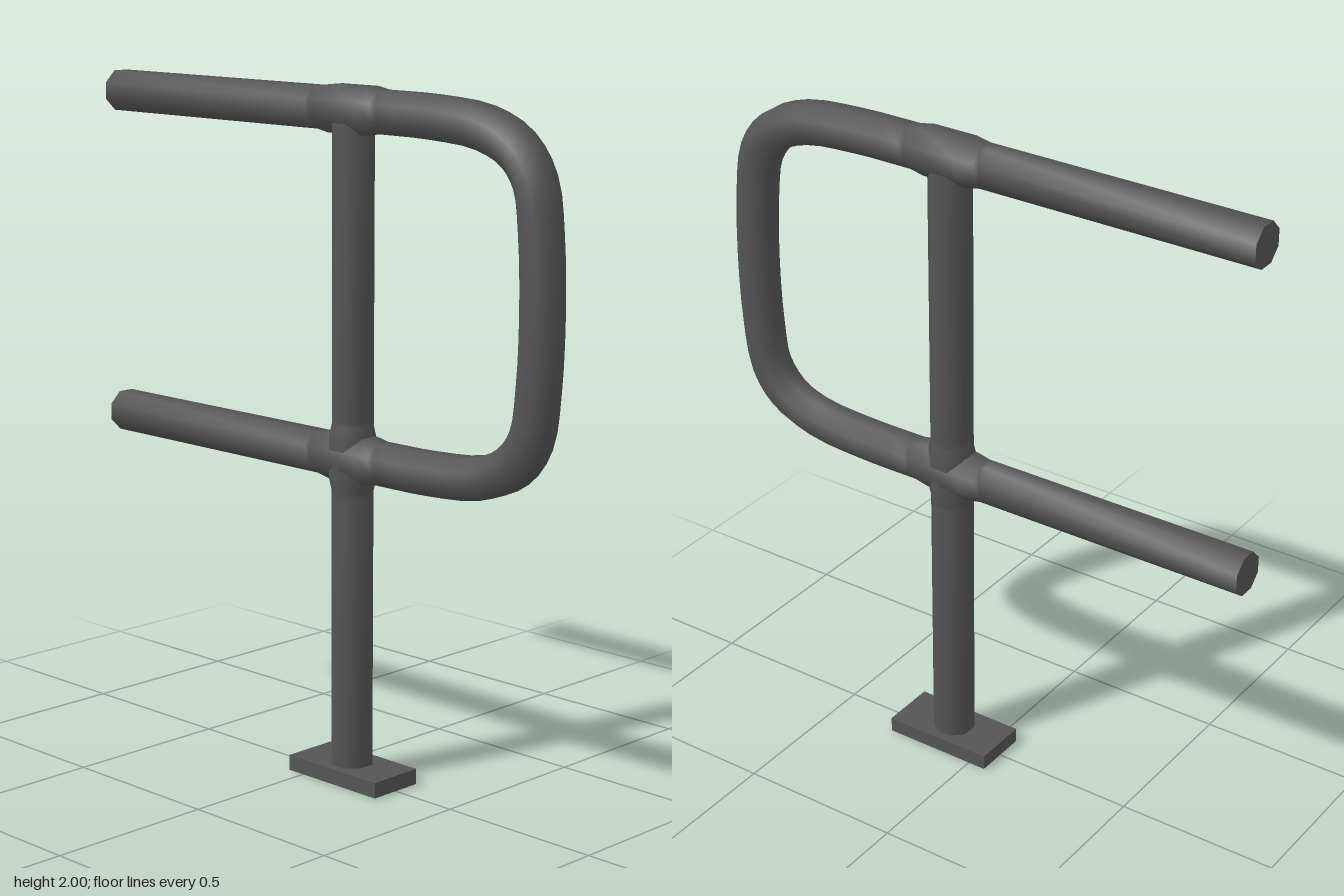
import * as THREE from 'three';

const SIDES = 8;
const R = 0.059;        // flat-to-centre size of the pipe
const COLLAR = 0.0665;  // swollen weld at the joints
const POST_Z = 0.115, TOP_Y = 1.934, LOW_Y = 0.952;

// Sweeps an eight-sided capped pipe along [z, y, size] stations in the x = 0 plane
function pipe(stations) {
  const pos = [], idx = [], n = stations.length;
  const pts = stations.map(([z, y]) => new THREE.Vector3(0, y, z));
  const X = new THREE.Vector3(1, 0, 0);
  const ring = (i) => {
    const T = pts[Math.min(i + 1, n - 1)].clone().sub(pts[Math.max(i - 1, 0)]).normalize();
    const U = T.cross(X);
    const r = stations[i][2] / Math.cos(Math.PI / SIDES);
    const start = pos.length / 3;
    for (let j = 0; j < SIDES; j++) {
      const a = (j + 0.5) / SIDES * Math.PI * 2;
      const v = pts[i].clone().addScaledVector(X, r * Math.cos(a)).addScaledVector(U, r * Math.sin(a));
      pos.push(v.x, v.y, v.z);
    }
    return start;
  };
  for (let i = 0; i < n; i++) ring(i);
  for (let i = 0; i < n - 1; i++) {
    for (let j = 0; j < SIDES; j++) {
      const a = i * SIDES + j, b = i * SIDES + (j + 1) % SIDES;
      idx.push(a, b, b + SIDES, a, b + SIDES, a + SIDES);
    }
  }
  // Flat end caps with their own corners
  const s = ring(0), e = ring(n - 1);
  for (let j = 1; j < SIDES - 1; j++) idx.push(s, s + j + 1, s + j, e, e + j, e + j + 1);
  const g = new THREE.BufferGeometry();
  g.setAttribute('position', new THREE.Float32BufferAttribute(pos, 3));
  g.setIndex(idx);
  g.computeVertexNormals();
  return g;
}

export function createModel() {
  const model = new THREE.Group();
  model.name = 'handrail';
  const steel = new THREE.MeshStandardMaterial({ color: 0x555555 });
  steel.name = 'dark grey steel';
  const add = (name, geometry, x = 0, y = 0, z = 0) => {
    const m = new THREE.Mesh(geometry, steel);
    m.name = name;
    m.position.set(x, y, z);
    model.add(m);
    return m;
  };

  // Rail: straight top, rounded front return, straight bottom
  const mid = (TOP_Y + LOW_Y) / 2;
  const half = [[0.42, 1.932], [0.605, 1.914], [0.715, 1.865], [0.775, 1.785], [0.797, 1.655]];
  const bend = [[0.25, TOP_Y], ...half, [0.806, mid],
    ...half.map(([z, y]) => [z, 2 * mid - y]).reverse(), [0.25, LOW_Y]];
  const curve = new THREE.CatmullRomCurve3(bend.map(([z, y]) => new THREE.Vector3(0, y, z)));
  const straight = (y) => [
    [-0.865, y, R], [-0.02, y, R], [0, y, R], [0.045, y, COLLAR],
    [0.185, y, COLLAR], [0.23, y, R],
  ];
  const rail = [
    ...straight(TOP_Y),
    ...curve.getPoints(36).map((p) => [p.z, p.y, R]),
    ...straight(LOW_Y).reverse(),
  ];
  add('rail', pipe(rail));

  // Post, swollen where the lower rail crosses it
  const post = [[0.012, R], [0.84, R], [0.86, R], [0.895, COLLAR], [1.01, COLLAR],
    [1.045, R], [1.065, R], [1.91, R]];
  add('post', pipe(post.map(([y, r]) => [POST_Z, y, r])));

  // Foot plate with a hollow underside
  const W = 0.086, D = 0.173, H = 0.046, RIM = 0.022, LID = 0.015;
  const rect = (path, w, d) => path.moveTo(-w, -d).lineTo(w, -d).lineTo(w, d).lineTo(-w, d).closePath();
  const outline = rect(new THREE.Shape(), W, D);
  outline.holes.push(rect(new THREE.Path(), W - RIM, D - RIM));
  const rim = new THREE.ExtrudeGeometry(outline, { depth: H - LID, bevelEnabled: false });
  rim.rotateX(-Math.PI / 2);
  add('footRim', rim, 0, 0, POST_Z + 0.002);
  add('footPlate', new THREE.BoxGeometry(W * 2, LID, D * 2), 0, H - LID / 2, POST_Z + 0.002);

  return model;
}
